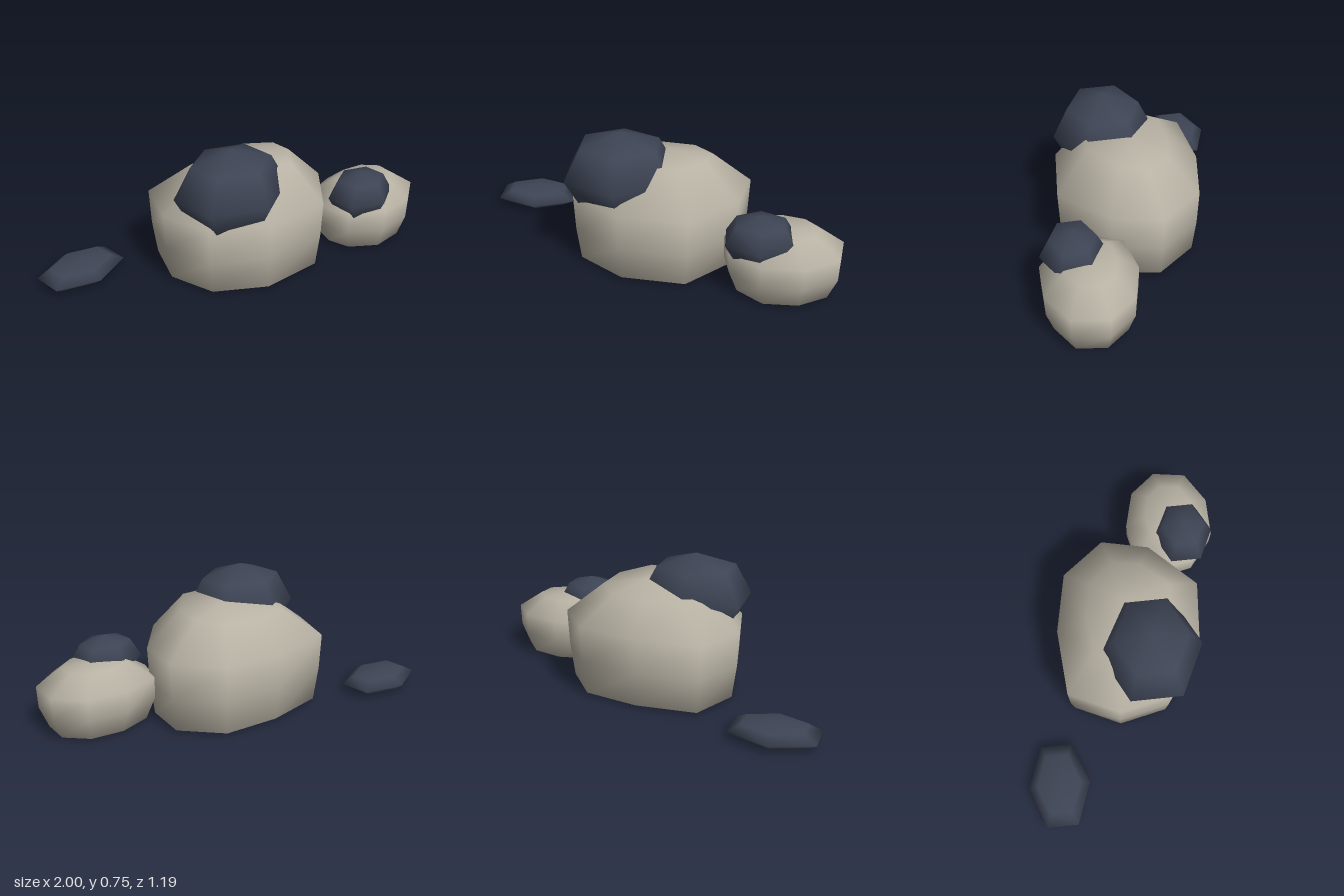
import * as THREE from 'three';

const stone = new THREE.MeshStandardMaterial({ color: 0xb8b2a4 });
stone.name = 'warm grey stone';
const slate = new THREE.MeshStandardMaterial({ color: 0x3d4454 });
slate.name = 'dark slate';

// Boulder: one plan outline [x, z] lofted through rings [scale, y, tilt along z], closed by two poles
function boulder(name, outline, [cx, cz], rings, top) {
  const n = outline.length;
  const pos = [cx, 0, cz];
  for (const [s, y, tilt = 0] of rings) {
    for (const [x, z] of outline) {
      const dz = (z - cz) * s;
      pos.push(cx + (x - cx) * s, y + tilt * dz, cz + dz);
    }
  }
  pos.push(...top);
  const last = pos.length / 3 - 1;
  const index = [];
  for (let i = 0; i < n; i++) {
    const j = (i + 1) % n;
    index.push(0, 1 + i, 1 + j);
    for (let r = 0; r < rings.length - 1; r++) {
      const a = 1 + r * n, b = a + n;
      index.push(a + i, b + i, a + j, a + j, b + i, b + j);
    }
    index.push(last - n + i, last, last - n + j);
  }
  const geo = new THREE.BufferGeometry();
  geo.setAttribute('position', new THREE.Float32BufferAttribute(pos, 3));
  geo.setIndex(index);
  geo.computeVertexNormals();
  const mesh = new THREE.Mesh(geo, stone);
  mesh.name = name;
  return mesh;
}

// Cap: coarse six-sided ellipsoid, flattened where it meets the ground
function cap(name, [x, y, z], [rx, ry, rz]) {
  const geo = new THREE.SphereGeometry(1, 6, 4);
  geo.rotateY(Math.PI / 2);
  geo.scale(rx, ry, rz);
  geo.translate(x, y, z);
  const p = geo.attributes.position;
  for (let i = 0; i < p.count; i++) p.setY(i, Math.max(0.003, p.getY(i)));
  const mesh = new THREE.Mesh(geo, slate);
  mesh.name = name;
  return mesh;
}

export function createModel() {
  const group = new THREE.Group();
  group.name = 'rockCluster';

  group.add(boulder('largeBoulder',
    [[0.51, -0.06], [0.45, 0.2], [0.2, 0.445], [-0.17, 0.41], [-0.43, 0.22],
      [-0.49, -0.06], [-0.36, -0.33], [0, -0.355], [0.33, -0.29]],
    [0.02, 0.04],
    [[0.72, 0.002], [0.93, 0.012], [0.98, 0.2], [1, 0.4], [0.57, 0.58, 0.13]],
    [0.06, 0.61, 0.02]));

  group.add(boulder('smallBoulder',
    [[1, 0.3], [0.97, 0.485], [0.79, 0.59], [0.57, 0.59], [0.41, 0.46],
      [0.38, 0.31], [0.45, 0.14], [0.67, 0.1], [0.88, 0.155]],
    [0.69, 0.35],
    [[0.6, 0.002], [0.83, 0.01], [0.985, 0.13], [1, 0.25], [0.56, 0.342]],
    [0.69, 0.356, 0.36]));

  // Dark stones: two resting on the boulders, one lying flat on the ground
  group.add(cap('largeCap', [-0.185, 0.51, 0.135], [0.323, 0.24, 0.278]));
  group.add(cap('smallCap', [0.565, 0.31, 0.415], [0.203, 0.14, 0.17]));
  group.add(cap('groundSlab', [-0.775, 0.046, -0.43], [0.26, 0.056, 0.17]));
  return group;
}
